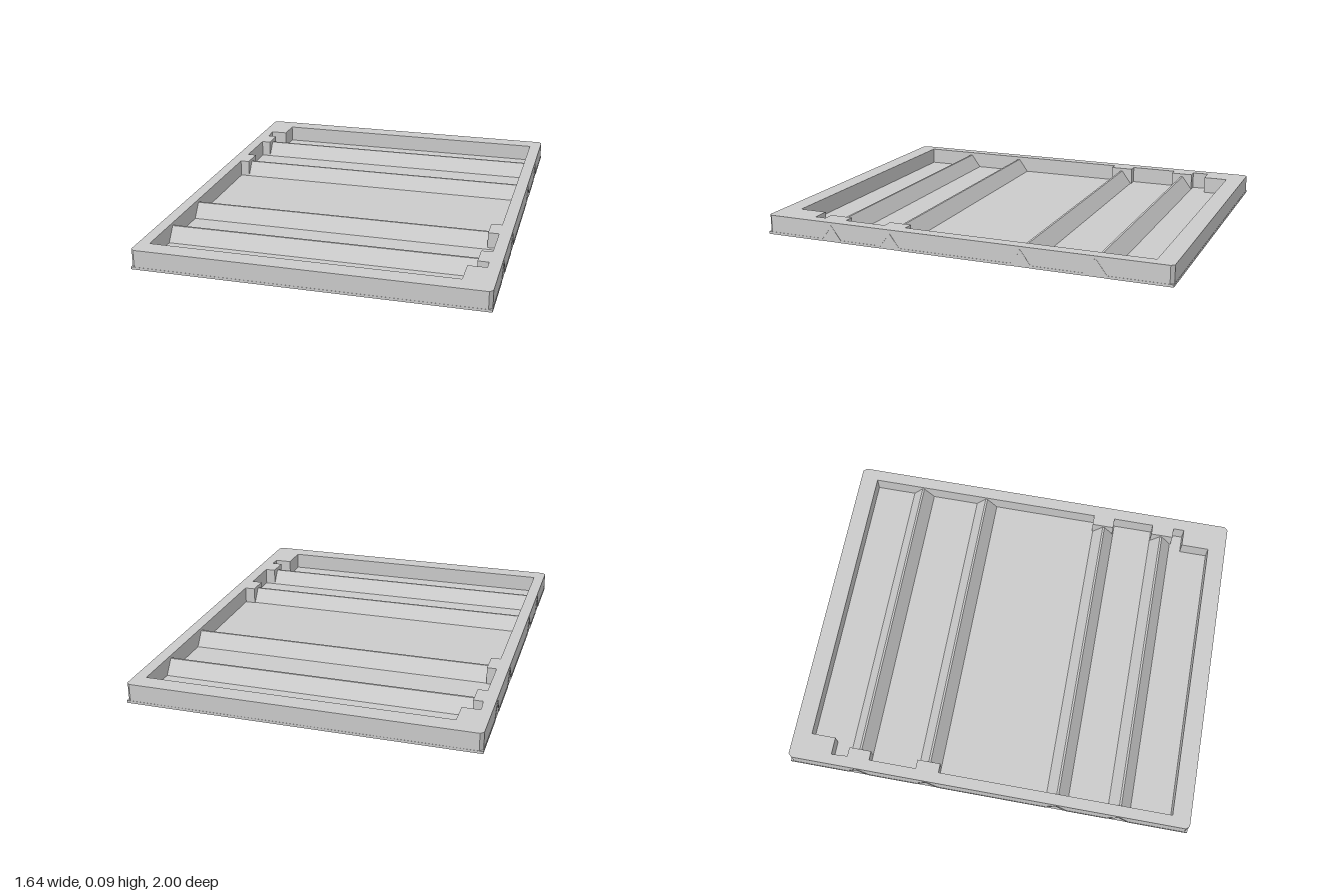
import * as THREE from 'three';

const HEIGHT = 0.095;
const FLOOR = 0.012;
const RIDGE_TOP = 0.08;
const RIDGES = [-0.655, -0.305, 0.345, 0.655]; // z centres, back to front

const toPoints = (list) => list.map(([x, y]) => new THREE.Vector2(x, y));

// Frame: chamfered rectangle with a stepped inner opening, points given as x, z
function buildFrame(material) {
  const w = 0.82, d = 0.999, c = 0.016;
  const outer = [
    [-w, -d + c], [-w, d - c], [-w + c, d], [w - c, d],
    [w, d - c], [w, -d + c], [w - c, -d], [-w + c, -d],
  ];
  const inner = [
    [-0.685, -0.91], [0.762, -0.91],
    // right side with blocks at the ends of the front ridges
    [0.762, 0.285], [0.71, 0.285], [0.71, 0.395], [0.762, 0.395],
    [0.762, 0.602], [0.71, 0.602], [0.71, 0.715], [0.762, 0.715],
    [0.762, 0.77], [0.675, 0.77], [0.675, 0.91], [-0.765, 0.91],
    // left side with blocks at the ends of the back ridges
    [-0.765, -0.25], [-0.72, -0.25], [-0.72, -0.365], [-0.765, -0.365],
    [-0.765, -0.6], [-0.72, -0.6], [-0.72, -0.71], [-0.765, -0.71],
    [-0.77, -0.79], [-0.685, -0.79],
  ];
  const flip = (list) => toPoints(list.map(([x, z]) => [x, -z]));
  const shape = new THREE.Shape(flip(outer));
  shape.holes.push(new THREE.Path(flip(inner)));
  const geometry = new THREE.ExtrudeGeometry(shape, { depth: HEIGHT, bevelEnabled: false });
  // drop the lower cap, so the floor's hollow grooves run on beneath the frame
  const skip = geometry.groups[0].count / 2;
  for (const [name, { array, itemSize }] of Object.entries(geometry.attributes)) {
    geometry.setAttribute(name, new THREE.BufferAttribute(array.slice(skip * itemSize), itemSize));
  }
  geometry.clearGroups();
  geometry.rotateX(-Math.PI / 2);
  const mesh = new THREE.Mesh(geometry, material);
  mesh.name = 'frame';
  return mesh;
}

// Floor: a thin folded sheet, with ridges above that are hollow from below
function buildFloor(material) {
  const end = 1, half = 0.055, crest = 0.005, width = 1.643;
  const top = [[-end, FLOOR]];
  const bottom = [[-end, 0]];
  for (const z of [...RIDGES].reverse()) {
    const u = -z;
    top.push([u - half, FLOOR], [u - crest, RIDGE_TOP], [u + crest, RIDGE_TOP], [u + half, FLOOR]);
    bottom.push([u - half + 0.003, 0], [u, RIDGE_TOP - 0.012], [u + half - 0.003, 0]);
  }
  top.push([end, FLOOR]);
  bottom.push([end, 0]);
  const shape = new THREE.Shape(toPoints([...bottom, ...top.reverse()]));
  const geometry = new THREE.ExtrudeGeometry(shape, { depth: width, bevelEnabled: false });
  geometry.translate(0, 0, -width / 2);
  geometry.rotateY(Math.PI / 2);
  const mesh = new THREE.Mesh(geometry, material);
  mesh.name = 'ridgedFloor';
  return mesh;
}

export function createModel() {
  const material = new THREE.MeshStandardMaterial({ color: 0xcccccc, flatShading: true });
  const group = new THREE.Group();
  group.name = 'ridgedTray';
  group.add(buildFrame(material), buildFloor(material));
  return group;
}
